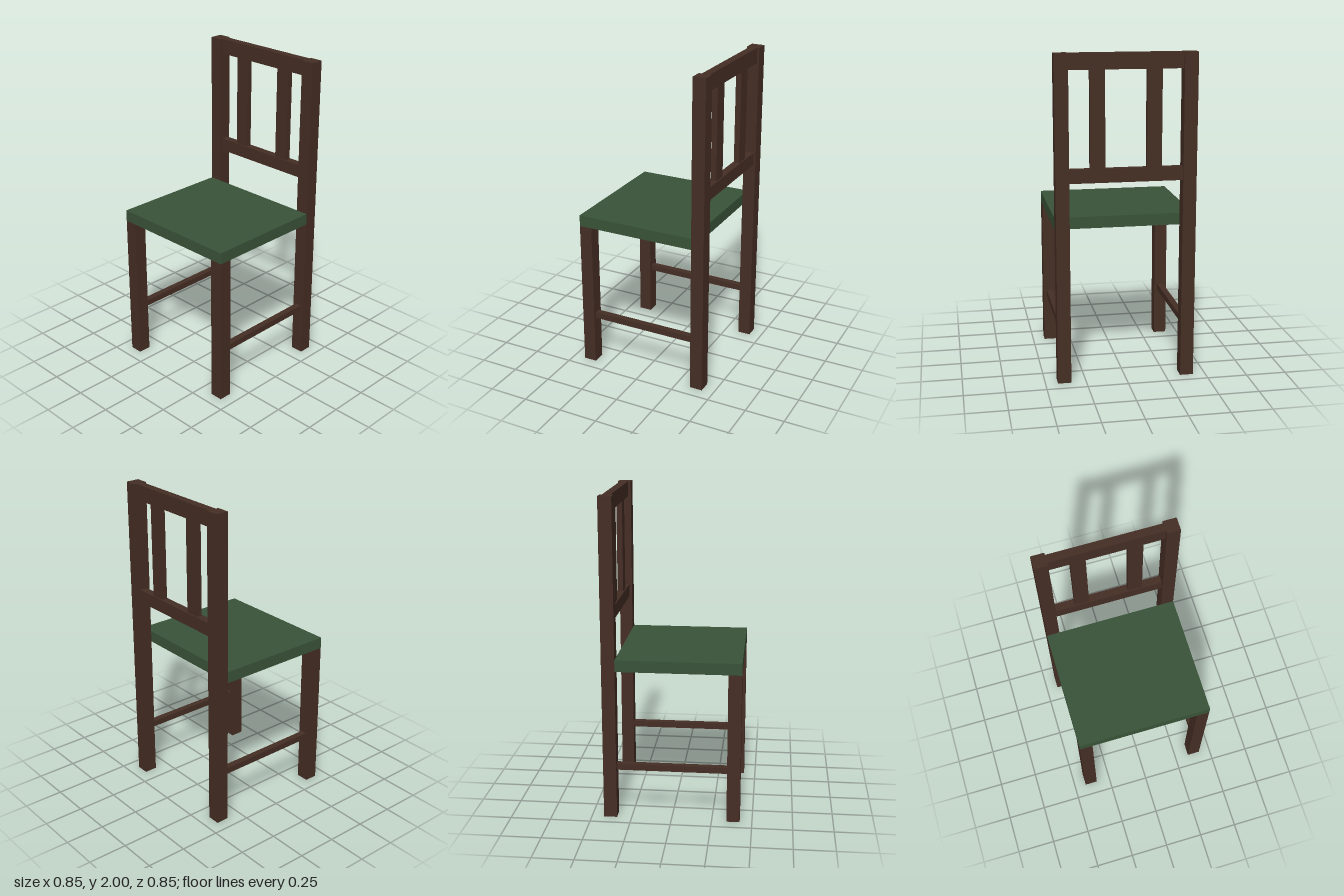
import * as THREE from 'three';

export function createModel() {
  const chair = new THREE.Group();
  chair.name = 'chair';

  const darkWood = new THREE.MeshStandardMaterial({ color: 0x452e24 });
  darkWood.name = 'darkWood';
  const greenSeat = new THREE.MeshStandardMaterial({ color: 0x395338 });
  greenSeat.name = 'greenSeat';

  // Box given by its extents along each axis
  function box(name, material, [x0, x1], [y0, y1], [z0, z1]) {
    const mesh = new THREE.Mesh(new THREE.BoxGeometry(x1 - x0, y1 - y0, z1 - z0), material);
    mesh.position.set((x0 + x1) / 2, (y0 + y1) / 2, (z0 + z1) / 2);
    mesh.name = name;
    chair.add(mesh);
  }

  const outer = 0.424, inner = 0.342;

  box('seat', greenSeat, [-outer, outer], [0.95, 1.022], [-inner, outer]);

  // Legs, side stretchers and back slats, mirrored left and right
  for (const [side, s] of [['left', 1], ['right', -1]]) {
    const span = (a, b) => (s > 0 ? [a, b] : [-b, -a]);
    box(side + 'BackPost', darkWood, span(inner, outer), [0, 2], [-outer, -inner]);
    box(side + 'FrontLeg', darkWood, span(inner, outer), [0, 0.95], [inner, outer]);
    box(side + 'Stretcher', darkWood, span(0.363, 0.403), [0.31, 0.35], [-inner, inner]);
    box(side + 'BackSlat', darkWood, span(0.125, 0.215), [1.32, 1.904], [-0.403, -0.367]);
  }

  // Cross rails of the backrest
  box('topRail', darkWood, [-inner, inner], [1.904, 2], [-0.41, -0.36]);
  box('lowerRail', darkWood, [-inner, inner], [1.24, 1.322], [-0.41, -0.36]);

  return chair;
}
